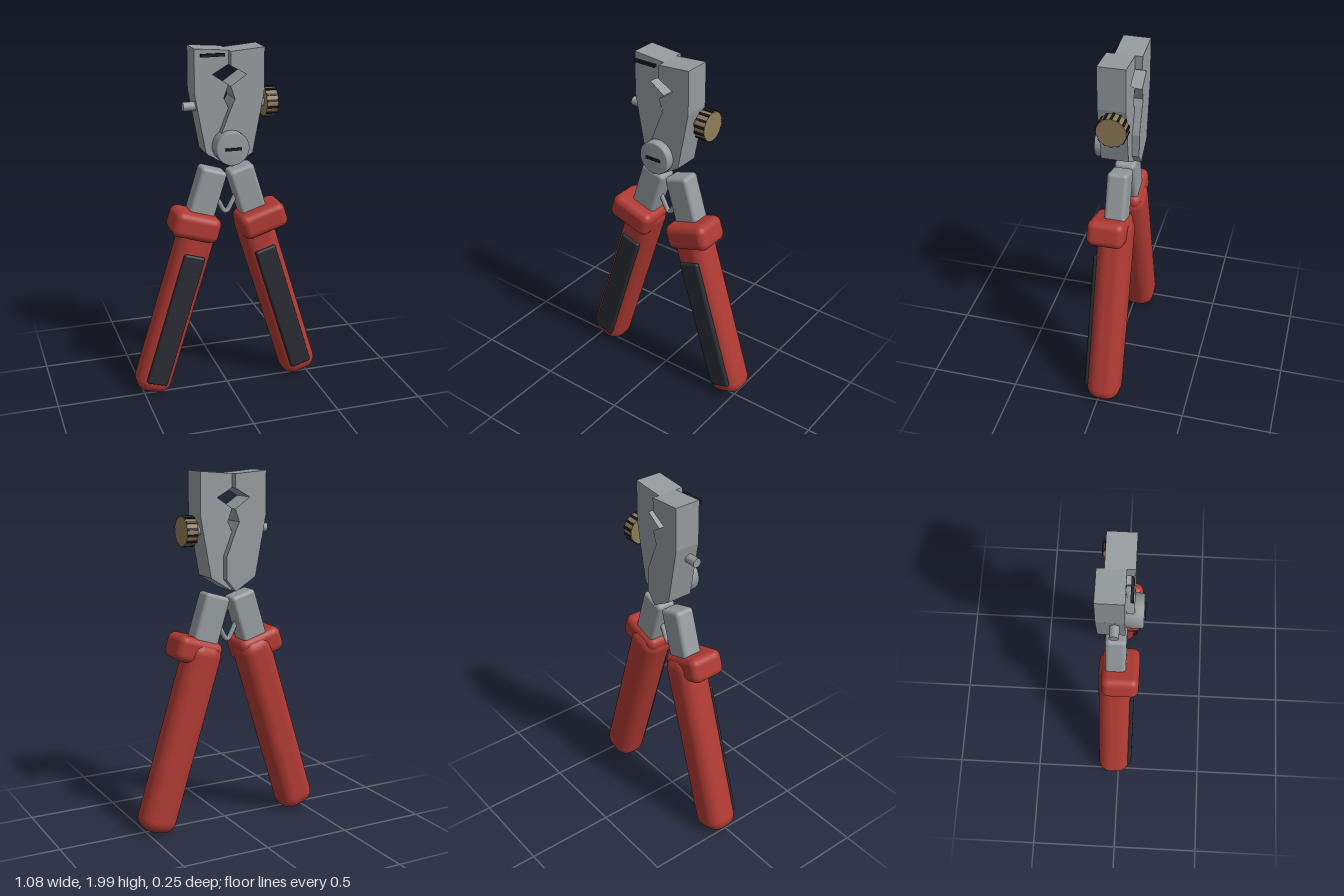
import * as THREE from 'three';
import { RoundedBoxGeometry } from 'three/addons/geometries/RoundedBoxGeometry.js';

const mat = (name, color) => {
  const m = new THREE.MeshStandardMaterial({ color });
  m.name = name;
  return m;
};

export function createModel() {
  const steel = mat('steel grey', 0x969b9e);
  const red = mat('handle red', 0xb03a33);
  const rubber = mat('grip charcoal', 0x2b2d35);
  const brass = mat('knob brass', 0x8f7d57);
  const black = mat('slot black', 0x1b1b1f);
  const model = new THREE.Group();
  model.name = 'pliers';

  const add = (parent, name, geometry, material, x = 0, y = 0, z = 0) => {
    const mesh = new THREE.Mesh(geometry, material);
    mesh.name = name;
    mesh.position.set(x, y, z);
    parent.add(mesh);
    return mesh;
  };
  const rounded = (w, h, d, r) => new RoundedBoxGeometry(w, h, d, 5, r);

  // Jaws: the same notched outline, mirrored and offset in depth
  const outline = [
    [0, 1.985], [0, 1.91], [0.088, 1.86], [0, 1.8], [0.025, 1.73], [0.008, 1.695],
    [-0.05, 1.55], [-0.05, 1.42], [0.005, 1.355], [0.125, 1.43], [0.187, 1.76], [0.187, 2],
  ];
  const jaw = (name, side, back, front) => {
    const shape = new THREE.Shape(outline.map(([x, y]) => new THREE.Vector2(side * x, y)));
    const geo = new THREE.ExtrudeGeometry(shape, { depth: front - back, bevelEnabled: false });
    add(model, name, geo, steel, 0, 0, back);
  };
  jaw('rightJaw', 1, -0.085, 0.065);
  jaw('leftJaw', -1, -0.124, 0.022);
  add(model, 'jawMark', new THREE.BoxGeometry(0.13, 0.016, 0.016), black, -0.095, 1.968, 0.053);

  // Pivot bolt with softened rim and slot
  const boltProfile = [[0, -0.1], [0.093, -0.1], [0.093, 0.045], [0.091, 0.05], [0.085, 0.054], [0, 0.056]]
    .map(([r, y]) => new THREE.Vector2(r, y));
  const bolt = add(model, 'pivotBolt', new THREE.LatheGeometry(boltProfile, 40), steel, 0, 1.47, 0.06);
  bolt.rotation.x = Math.PI / 2;
  add(model, 'pivotSlot', new THREE.BoxGeometry(0.09, 0.015, 0.009), black, 0, 1.47, 0.118);

  // Adjusting screw and ribbed knob, along x
  const screw = new THREE.Group();
  screw.name = 'adjustingScrew';
  screw.position.set(0, 1.685, -0.03);
  model.add(screw);
  const alongX = (name, r, x0, x1, material, sides) => {
    const mesh = add(screw, name, new THREE.CylinderGeometry(r, r, x1 - x0, sides), material, (x0 + x1) / 2);
    mesh.rotation.z = -Math.PI / 2;
  };
  alongX('leftScrewEnd', 0.025, -0.24, -0.1, steel, 20);
  alongX('rightScrewEnd', 0.025, 0.1, 0.22, steel, 20);
  alongX('knob', 0.079, 0.212, 0.276, brass, 32);
  const ribs = 14;
  for (let i = 0; i < ribs; i++) {
    const a = (i / ribs) * Math.PI * 2;
    const rib = add(screw, 'knobRib', new THREE.BoxGeometry(0.062, 0.012, 0.013), black,
      0.244, Math.cos(a) * 0.078, Math.sin(a) * 0.078);
    rib.rotation.x = a;
  }

  // Handles: local y runs up the tilted arm
  for (const side of [-1, 1]) {
    const arm = new THREE.Group();
    arm.name = side < 0 ? 'rightHandle' : 'leftHandle';
    arm.position.set(side * 0.322, 0.479, 0);
    arm.rotation.z = side * 0.3;
    model.add(arm);
    add(arm, 'shank', rounded(0.15, 0.42, 0.115, 0.022), steel, side * 0.015, 0.68, -0.028);
    add(arm, 'handleBody', rounded(0.207, 1.1, 0.187, 0.075), red, 0, 0.075, -0.029);
    add(arm, 'handleCollar', rounded(0.268, 0.145, 0.208, 0.042), red, side * 0.04, 0.563, 0);
    add(arm, 'gripPad', rounded(0.124, 0.8, 0.05, 0.014), rubber, 0, 0, 0.054);
  }

  // Wire spring between the shanks
  const springPath = new THREE.CatmullRomCurve3([
    [-0.075, 1.2], [-0.035, 1.125], [-0.012, 1.083], [0, 1.076], [0.012, 1.083], [0.035, 1.125], [0.075, 1.2],
  ].map(([x, y]) => new THREE.Vector3(x, y, -0.028)));
  add(model, 'spring', new THREE.TubeGeometry(springPath, 40, 0.014, 10), steel);

  return model;
}
